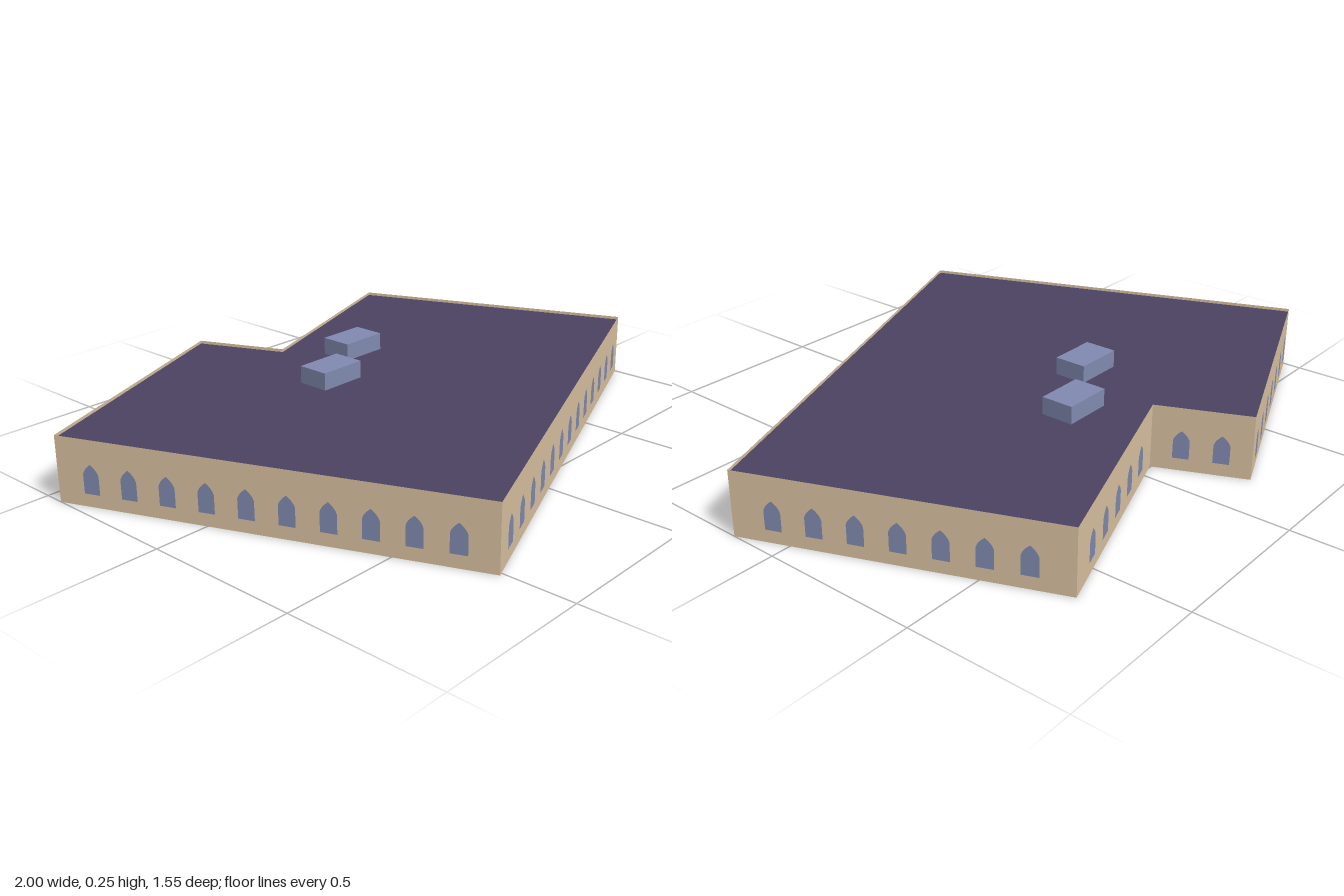
import * as THREE from 'three';

const WALL_TOP = 0.208, ROOF_Y = 0.198, STEP = 0.1205;

// Footprint corners [x, z], each followed by the number of windows on the wall that starts there
const footprint = [
  [-1.0, -0.436, 10],
  [-0.512, 0.774, 13],
  [1.0, 0.156, 7],
  [0.634, -0.742, 5],
  [-0.058, -0.497, 2],
  [-0.18, -0.774, 7],
];

// Pointed-arch window outline, standing on its sill
function windowShape() {
  const w = 0.025, sill = 0.041, spring = 0.1, tip = 0.133;
  const s = new THREE.Shape();
  s.moveTo(-w, sill);
  s.lineTo(w, sill);
  s.lineTo(w, spring);
  s.quadraticCurveTo(w * 0.85, 0.117, 0, tip);
  s.quadraticCurveTo(-w * 0.85, 0.117, -w, spring);
  s.closePath();
  return s;
}

export function createModel() {
  const model = new THREE.Group();
  model.name = 'building';

  const wallMat = new THREE.MeshStandardMaterial({ color: 0xd8c09f, side: THREE.DoubleSide });
  wallMat.name = 'sandstone';
  const roofMat = new THREE.MeshStandardMaterial({ color: 0x4c4262, side: THREE.DoubleSide });
  roofMat.name = 'dark purple roofing';
  const blueMat = new THREE.MeshStandardMaterial({ color: 0x808ab0 });
  blueMat.name = 'blue grey';

  const add = (parent, name, geometry, material, x = 0, y = 0, z = 0) => {
    const mesh = new THREE.Mesh(geometry, material);
    mesh.name = name;
    mesh.position.set(x, y, z);
    parent.add(mesh);
    return mesh;
  };

  // Thin walls, each with a centred row of windows on its outer face
  const windowGeo = new THREE.ShapeGeometry(windowShape(), 4);
  footprint.forEach(([x0, z0, count], i) => {
    const [x1, z1] = footprint[(i + 1) % footprint.length];
    const dx = x1 - x0, dz = z1 - z0;
    const side = new THREE.Group();
    side.name = 'wallSide' + (i + 1);
    side.position.set((x0 + x1) / 2, 0, (z0 + z1) / 2);
    side.rotation.y = Math.atan2(-dz, dx);
    add(side, 'wall', new THREE.PlaneGeometry(Math.hypot(dx, dz), WALL_TOP), wallMat, 0, WALL_TOP / 2, 0);
    for (let k = 0; k < count; k++) {
      add(side, 'window', windowGeo, blueMat, (k - (count - 1) / 2) * STEP, 0, 0.002);
    }
    model.add(side);
  });

  // Flat roof just below the wall tops; the building is open underneath
  const outline = new THREE.Shape(footprint.map(([x, z]) => new THREE.Vector2(x, -z)));
  add(model, 'roof', new THREE.ShapeGeometry(outline).rotateX(-Math.PI / 2), roofMat, 0, ROOF_Y, 0);

  // Two rooftop units
  const unitHeight = 0.254 - ROOF_Y;
  const unitGeo = new THREE.BoxGeometry(0.16, unitHeight, 0.106);
  for (const [x, z] of [[-0.145, -0.183], [0.104, -0.325]]) {
    add(model, 'roofUnit', unitGeo, blueMat, x, ROOF_Y + unitHeight / 2, z);
  }

  return model;
}
